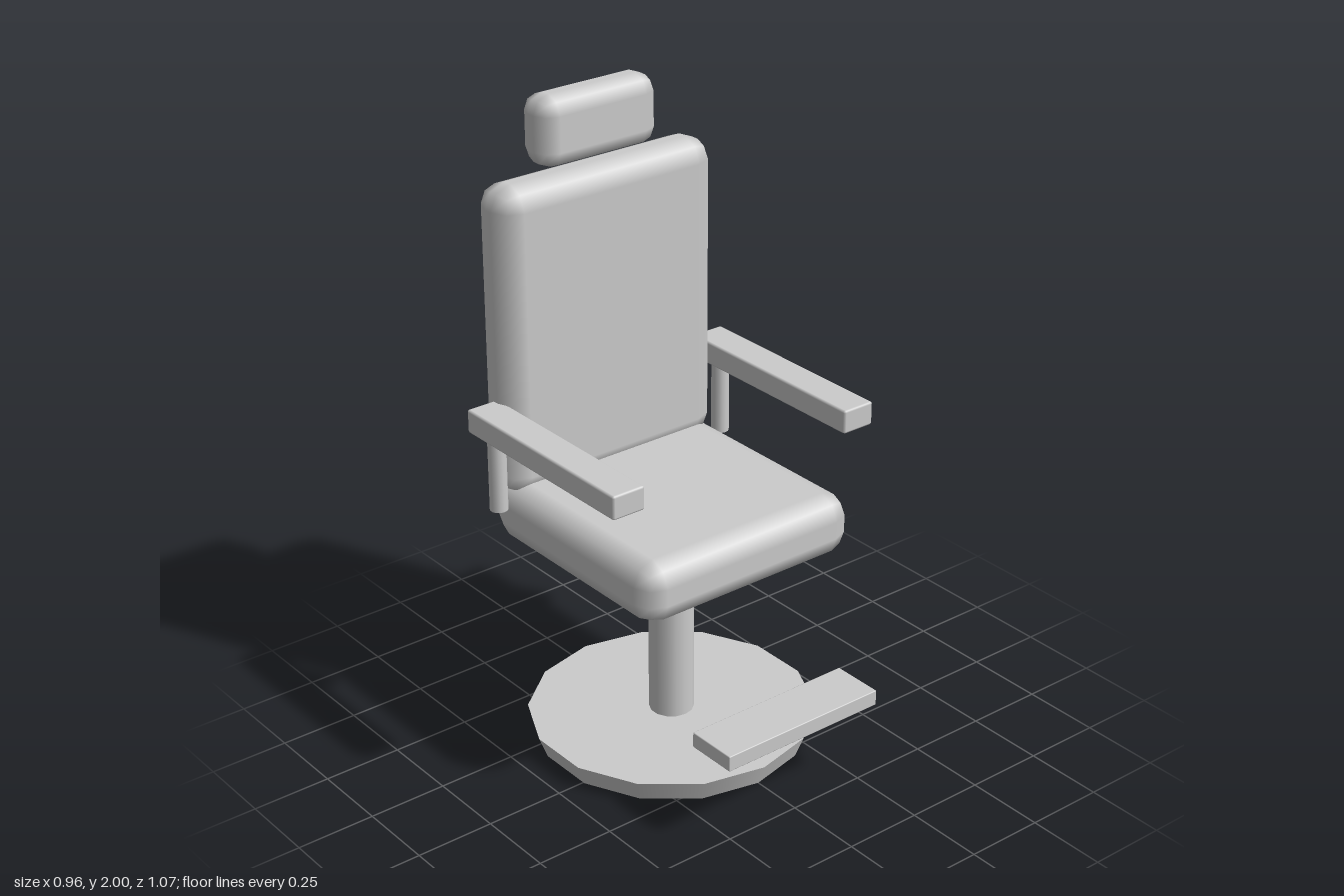
import * as THREE from 'three';
import { RoundedBoxGeometry } from 'three/addons/geometries/RoundedBoxGeometry.js';

export function createModel() {
  const chair = new THREE.Group();
  chair.name = 'chair';
  const lightGrey = new THREE.MeshStandardMaterial({ color: 0xcccccc });
  lightGrey.name = 'lightGrey';

  const add = (name, geometry, x, y, z) => {
    const mesh = new THREE.Mesh(geometry, lightGrey);
    mesh.name = name;
    mesh.position.set(x, y, z);
    chair.add(mesh);
    return mesh;
  };
  // Box given by its extents on each axis, with softened edges of radius r
  const block = (name, [x0, x1], [y0, y1], [z0, z1], r) =>
    add(name, new RoundedBoxGeometry(x1 - x0, y1 - y0, z1 - z0, 1, r),
      (x0 + x1) / 2, (y0 + y1) / 2, (z0 + z1) / 2);

  // Pedestal: tapered disc and column
  const axisZ = -0.088;
  add('base', new THREE.CylinderGeometry(0.447, 0.42, 0.07, 14), 0, 0.035, axisZ);
  add('column', new THREE.CylinderGeometry(0.07, 0.07, 0.6, 14), 0, 0.365, axisZ);

  // Cushions
  block('seat', [-0.388, 0.388], [0.645, 0.84], [-0.48, 0.3], 0.07);
  block('backrest', [-0.388, 0.388], [0.795, 1.775], [-0.513, -0.346], 0.07);
  block('headrest', [-0.21, 0.21], [1.78, 2.0], [-0.527, -0.39], 0.055);

  // Footrest plate
  block('footrest', [-0.283, 0.283], [0.265, 0.315], [0.368, 0.534], 0.003);

  // Armrests on short posts, mirrored
  for (const [side, s] of [['left', 1], ['right', -1]]) {
    const xs = [0.37, 0.48].map((x) => x * s).sort((a, b) => a - b);
    block(side + 'Armrest', xs, [1.03, 1.105], [-0.44, 0.265], 0.007);
    add(side + 'ArmPost', new THREE.CylinderGeometry(0.028, 0.028, 0.255, 14), 0.425 * s, 0.9125, -0.373);
  }
  return chair;
}
